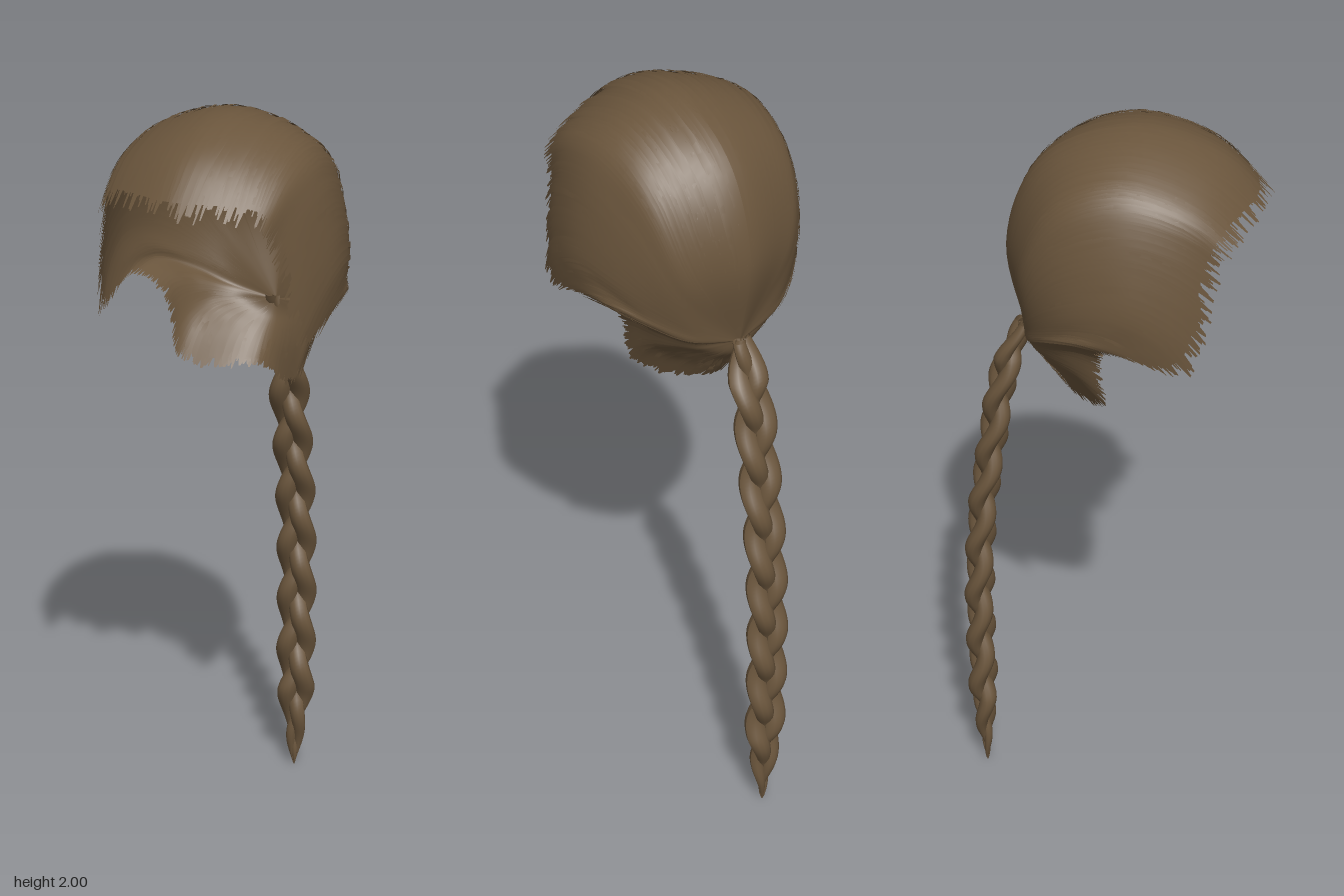
import * as THREE from 'three';
import { mergeGeometries } from 'three/addons/utils/BufferGeometryUtils.js';

// Guide locks on one side, from the tie at the nape out to the hairline (x, y, z)
const TIE = [0, 1.43, -0.215];
const GUIDES = [
  [[0, 1.68, -0.255], [0, 1.9, -0.165], [0, 1.99, 0.04], [0, 1.935, 0.25], [0, 1.8, 0.39]],
  [[0.13, 1.66, -0.216], [0.17, 1.855, -0.13], [0.18, 1.932, 0.03], [0.19, 1.89, 0.2], [0.19, 1.79, 0.318]],
  [[0.16, 1.6, -0.198], [0.225, 1.755, -0.12], [0.253, 1.83, 0.03], [0.25, 1.8, 0.17], [0.225, 1.71, 0.275]],
  [[0.15, 1.52, -0.19], [0.25, 1.605, -0.1], [0.292, 1.637, 0.03], [0.287, 1.58, 0.14], [0.268, 1.48, 0.215]],
  [[0.13, 1.47, -0.192], [0.22, 1.525, -0.13], [0.27, 1.55, -0.05], [0.28, 1.53, 0.05]],
  [[0.11, 1.447, -0.185], [0.175, 1.475, -0.13], [0.207, 1.488, -0.06], [0.21, 1.47, 0]],
  [[0.08, 1.42, -0.187], [0.13, 1.41, -0.13], [0.15, 1.375, -0.065], [0.155, 1.3, 0]],
  [[0, 1.39, -0.2], [0, 1.35, -0.165], [0, 1.28, -0.11]],
];

// Small repeatable random generator
function seeded(seed) {
  return () => {
    seed = (seed * 16807) % 2147483647;
    return seed / 2147483647;
  };
}

// Surface from a grid of points: point(s, t), s across and t along
function grid(cols, rows, point) {
  const pos = [], index = [], w = cols + 1;
  for (let j = 0; j <= rows; j++) {
    for (let i = 0; i <= cols; i++) {
      const p = point(i / cols, j / rows);
      pos.push(p.x, p.y, p.z);
      if (i < cols && j < rows) {
        const a = j * w + i;
        index.push(a, a + w, a + 1, a + 1, a + w, a + w + 1);
      }
    }
  }
  const g = new THREE.BufferGeometry();
  g.setAttribute('position', new THREE.Float32BufferAttribute(pos, 3));
  g.setIndex(index);
  g.computeVertexNormals();
  return g;
}

// Combed hair surface: u runs round the hairline, v from the tie to the tips
function makeScalp() {
  const mirrored = GUIDES.slice(1, -1).reverse().map(g => g.map(([x, y, z]) => [-x, y, z]));
  const curves = [...GUIDES, ...mirrored].map(g =>
    new THREE.CatmullRomCurve3([TIE, ...g].map(p => new THREE.Vector3(...p)), false, 'catmullrom', 0.5));
  const steps = 48;
  const rings = Array.from({ length: steps + 1 }, (_, k) =>
    new THREE.CatmullRomCurve3(curves.map(c => c.getPointAt(k / steps)), true, 'catmullrom', 0.5));
  return (u, v) => {
    const f = v * steps;
    const k = Math.min(Math.floor(f), steps - 1);
    const uu = ((u % 1) + 1) % 1;
    return rings[k].getPoint(uu).lerp(rings[k + 1].getPoint(uu), f - k);
  };
}

// Thin tapered locks just above and below the cap, with ragged tips
function makeLocks(scalp, count) {
  const rand = seeded(4217);
  const centre = new THREE.Vector3(0, 1.62, 0.02);
  const locks = [];
  for (let n = 0; n < count; n++) {
    const u = (n + rand() * 0.8) / count;
    const start = 0.1 + rand() * 0.6;
    const end = 0.92 + rand() * 0.08;
    const width = 0.003 + rand() * 0.004;
    const lift = rand() * 0.036 - 0.014;
    const drift = (rand() - 0.5) * 0.01;
    locks.push(grid(1, 12, (s, t) => {
      const v = start + (end - start) * t;
      const half = width * Math.min(1, 0.15 + 4 * t, 0.3 + 5 * (1 - t));
      const p = scalp(u + drift * t + (s - 0.5) * half, v);
      return p.add(p.clone().sub(centre).multiplyScalar(lift * Math.min(1, t * 2.5)));
    }));
  }
  return mergeGeometries(locks);
}

// One of three woven strands, with horizontal elliptical cross-sections
function makeBraidStrand(path, phase) {
  const turns = 3.15;
  return grid(12, 150, (s, t) => {
    const c = path.getPointAt(t);
    const taper = Math.min(1, 0.55 + t * 6, Math.pow((1 - t) / 0.17, 0.75));
    const a = t * turns * Math.PI * 2 + phase;
    const q = -s * Math.PI * 2;
    // swells at the outside of each bend to give plump lobes
    const swell = 0.82 + 0.22 * Math.abs(Math.sin(a));
    return new THREE.Vector3(
      c.x + taper * (0.026 * Math.sin(a) + 0.029 * swell * Math.cos(q)),
      c.y,
      c.z + taper * (0.015 * Math.sin(2 * a) + 0.024 * swell * Math.sin(q)));
  });
}

export function createModel() {
  const hair = new THREE.MeshStandardMaterial({ color: 0x6a553c, side: THREE.DoubleSide });
  hair.name = 'brown hair';
  const model = new THREE.Group();
  model.name = 'braidedHair';
  const add = (name, geometry, parent) => {
    const mesh = new THREE.Mesh(geometry, hair);
    mesh.name = name;
    parent.add(mesh);
  };

  // Smooth cap, longest at the fringe, and the loose locks over it
  const scalp = makeScalp();
  add('hairCap', grid(112, 36, (s, t) => scalp(s, t * (0.925 + 0.025 * Math.cos(s * Math.PI * 2)))), model);
  add('hairLocks', makeLocks(scalp, 800), model);

  // Long braid hanging from the nape
  const path = new THREE.CatmullRomCurve3([
    [0, 1.44, -0.22], [0, 1.3, -0.268], [0, 1.1, -0.303], [0, 0.85, -0.338],
    [0, 0.6, -0.352], [0, 0.3, -0.352], [0, 0, -0.347],
  ].map(p => new THREE.Vector3(...p)));
  const braid = new THREE.Group();
  braid.name = 'braid';
  for (let i = 0; i < 3; i++) {
    add('braidStrand' + (i + 1), makeBraidStrand(path, i * Math.PI * 2 / 3), braid);
  }
  model.add(braid);
  return model;
}
